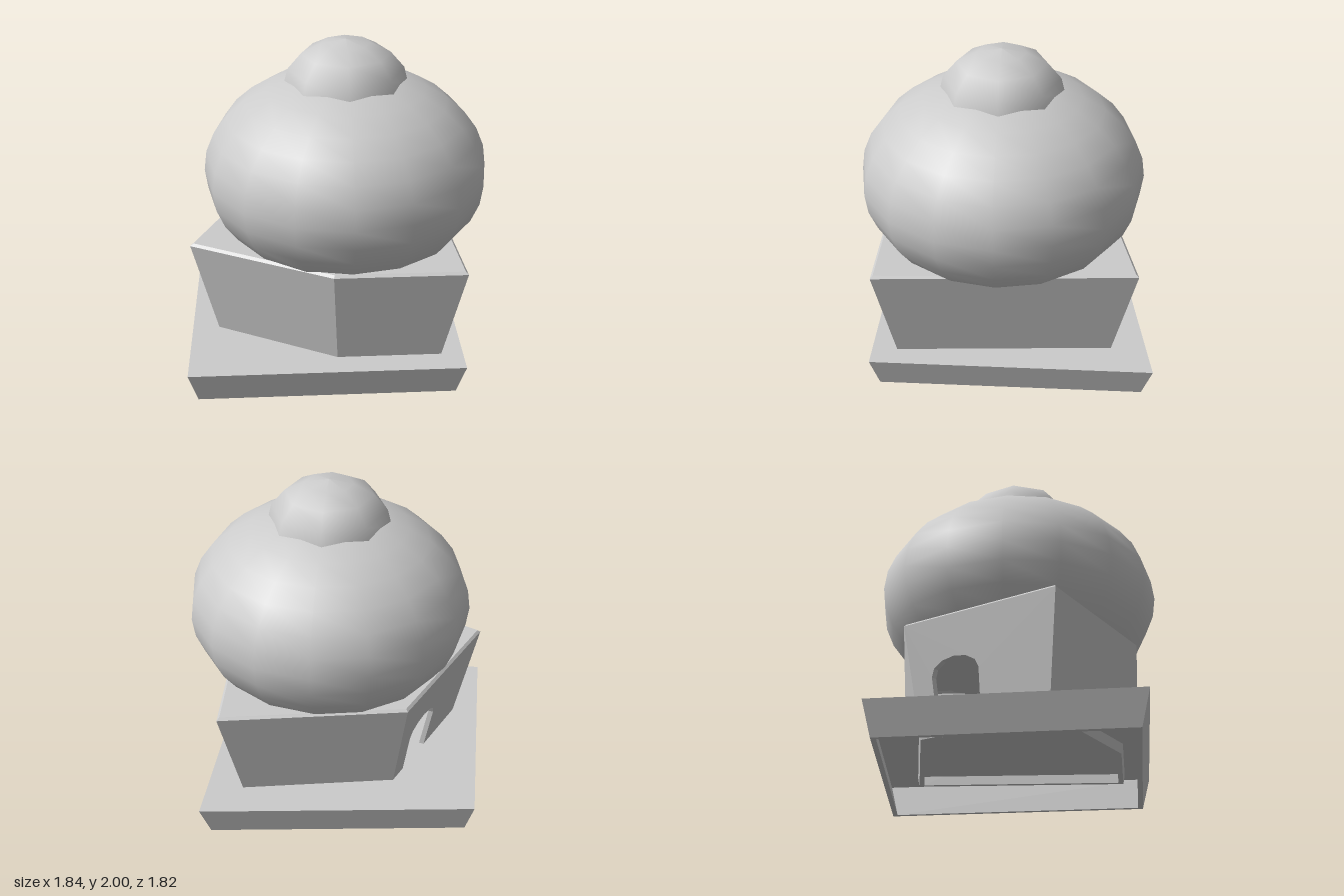
import * as THREE from 'three';

const mat = new THREE.MeshStandardMaterial({ color: 0xcccccc });
const thinMat = new THREE.MeshStandardMaterial({ color: 0xcccccc, side: THREE.DoubleSide });

// Footprints as [x, z], running clockwise seen from above the front edge
const BASE = [[0.73, 0.82], [-0.925, 0.82], [-0.925, -0.685], [0.73, -0.91]];
const HALL = [[0.715, 0.775], [-0.06, 0.775], [-0.905, 0.345], [-0.49, -0.575], [0.61, -0.795]];

// Corner i of a footprint whose edges are all moved inward by d
function corner(poly, i, d) {
  const n = poly.length;
  const [a, b, c] = [-1, 0, 1].map(k => new THREE.Vector2(...poly[(i + k + n) % n]));
  const e = b.clone().sub(a).normalize();
  const f = c.clone().sub(b).normalize();
  const k = d / (e.x * f.y - e.y * f.x);
  // offset lines meet along the difference of the two edge directions
  return b.add(f.sub(e).multiplyScalar(Math.abs(k)* Math.sign(d)));
}

// Leaning wall on one footprint edge: u along it, v up, w through its thickness
function wall(poly, i, shape, y0, y1, d0, d1, thick) {
  const geo = new THREE.ExtrudeGeometry(shape, { depth: 1, bevelEnabled: false });
  const p = geo.attributes.position;
  for (let k = 0; k < p.count; k++) {
    const u = p.getX(k), v = p.getY(k), w = p.getZ(k);
    const d = THREE.MathUtils.lerp(d0, d1, v) + thick * w;
    const q = corner(poly, i, d).lerp(corner(poly, (i + 1) % poly.length, d), u);
    p.setXYZ(k, q.x, THREE.MathUtils.lerp(y0, y1, v), q.y);
  }
  geo.computeVertexNormals();
  return new THREE.Mesh(geo, mat);
}

function plainPanel() {
  return new THREE.Shape([[0, 0], [1, 0], [1, 1], [0, 1]].map(q => new THREE.Vector2(...q)));
}

// Panel with an arched doorway rising from its lower edge
function doorPanel() {
  const u0 = 0.51, u1 = 0.85, spring = 0.5, rise = 0.14;
  const pts = [[0, 0], [u0, 0]];
  for (let k = 0; k <= 6; k++) {
    const a = Math.PI * (1 - k / 6);
    pts.push([(u0 + u1) / 2 + Math.cos(a) * (u1 - u0) / 2, spring + rise * Math.sin(a)]);
  }
  pts.push([u1, 0], [1, 0], [1, 1], [0, 1]);
  return new THREE.Shape(pts.map(q => new THREE.Vector2(...q)));
}

function wallRing(name, poly, y0, y1, d0, d1, thick, doorEdge = -1) {
  const g = new THREE.Group();
  g.name = name;
  poly.forEach((_, i) => {
    const m = wall(poly, i, i === doorEdge ? doorPanel() : plainPanel(), y0, y1, d0, d1, thick);
    m.name = i === doorEdge ? 'doorWall' : name + 'Side';
    g.add(m);
  });
  return g;
}

// Flat sheet filling a footprint
function plate(name, poly, y, d) {
  const shape = new THREE.Shape(poly.map((_, i) => {
    const q = corner(poly, i, d);
    return new THREE.Vector2(q.x, -q.y);
  }));
  const m = new THREE.Mesh(new THREE.ShapeGeometry(shape).rotateX(-Math.PI / 2), thinMat);
  m.name = name;
  m.position.y = y;
  return m;
}

// Squashed sphere section from angle a1 (lower) up to the pole
function cap(name, r, h, y, a1, steps, sides, cutY = -Infinity) {
  const pts = [];
  for (let k = 0; k <= steps; k++) {
    const a = a1 * (1 - k / steps);
    pts.push(new THREE.Vector2(r * Math.sin(a), y + h * Math.cos(a)));
  }
  // trim the lowest ring to a level cut
  if (pts[0].y < cutY) pts[0].lerp(pts[1], (cutY - pts[0].y) / (pts[1].y - pts[0].y));
  const m = new THREE.Mesh(new THREE.LatheGeometry(pts, sides), mat);
  m.name = name;
  m.position.set(0.05, 0, 0.04);
  return m;
}

export function createModel() {
  const model = new THREE.Group();
  model.name = 'domedHut';

  // Hollow plinth, open underneath
  model.add(wallRing('plinthWall', BASE, 0, 0.2, 0.05, 0, 0.03));
  model.add(plate('plinthTop', BASE, 0.2, 0));

  // Hall with outward leaning walls, a doorway and a chamfered roof
  model.add(wallRing('hallWall', HALL, 0.14, 0.815, 0.121, 0, 0.03, 2));
  model.add(wallRing('roofEdge', HALL, 0.815, 0.83, 0, 0.015, 0.03));
  model.add(plate('roof', HALL, 0.83, 0.015));

  // Dome with a level underside
  model.add(cap('dome', 0.865, 0.628, 1.18, Math.PI * 0.75, 12, 16, 0.8));
  const under = new THREE.Mesh(new THREE.CircleGeometry(0.684, 16).rotateX(Math.PI / 2), mat);
  under.name = 'domeUnderside';
  under.position.set(0.05, 0.8, 0.04);
  model.add(under);

  // Small cap on top
  model.add(cap('topCap', 0.375, 0.29, 1.71, Math.PI / 2, 4, 8));
  return model;
}
